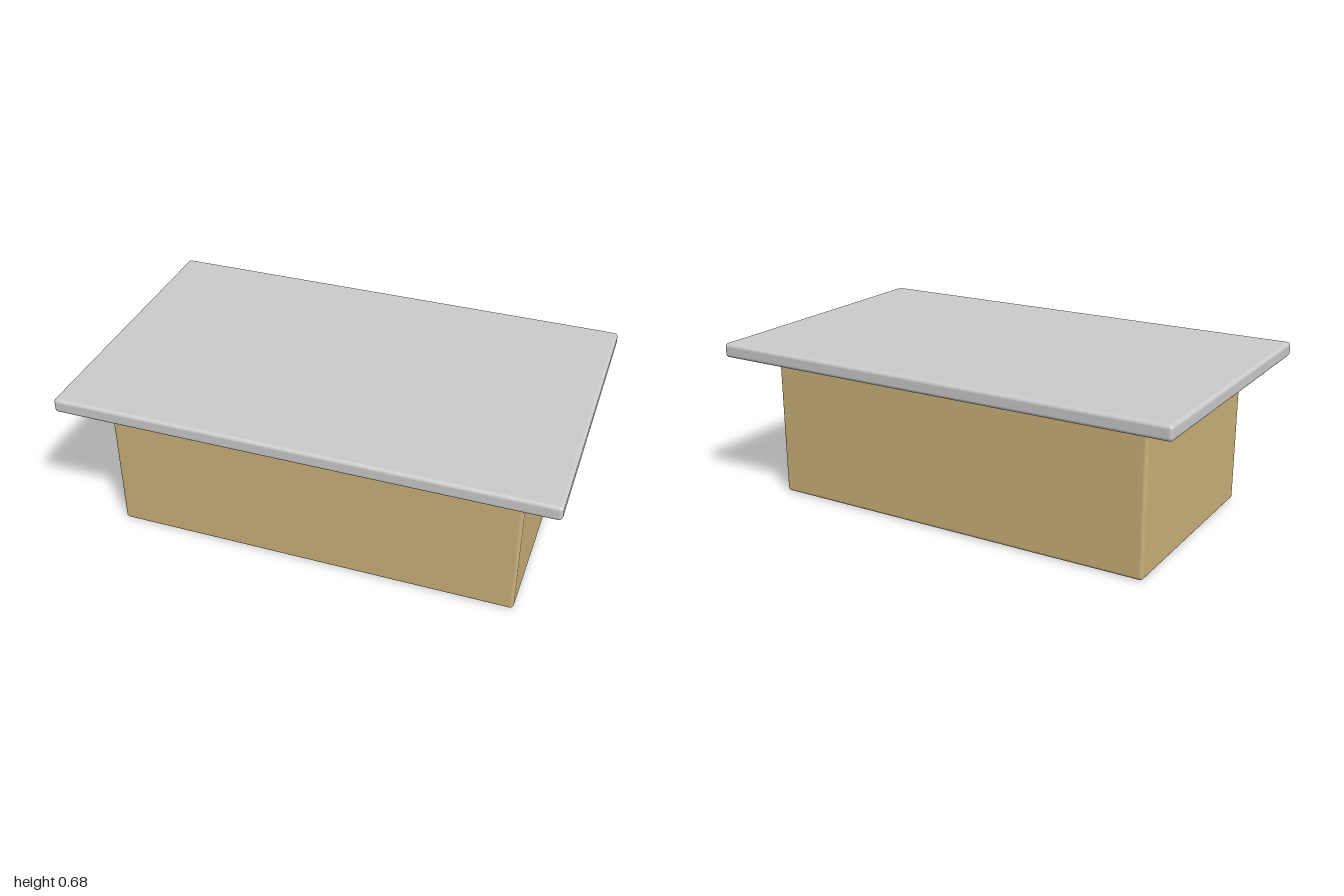
import * as THREE from 'three';
import { RoundedBoxGeometry } from 'three/addons/geometries/RoundedBoxGeometry.js';

// Softly rounded block resting at height y0
function block(name, w, h, d, y0, radius, color) {
  const mesh = new THREE.Mesh(
    new RoundedBoxGeometry(w, h, d, 4, radius),
    new THREE.MeshStandardMaterial({ color })
  );
  mesh.name = name;
  mesh.position.y = y0 + h / 2;
  return mesh;
}

export function createModel() {
  const group = new THREE.Group();
  group.name = 'slabToppedBlock';

  // Solid tan base
  group.add(block('base', 1.69, 0.585, 0.922, 0, 0.015, 0xccb27b));

  // Thin overhanging slab, floating just above the base
  group.add(block('topSlab', 2, 0.06, 1.23, 0.618, 0.015, 0xcccccc));

  return group;
}
